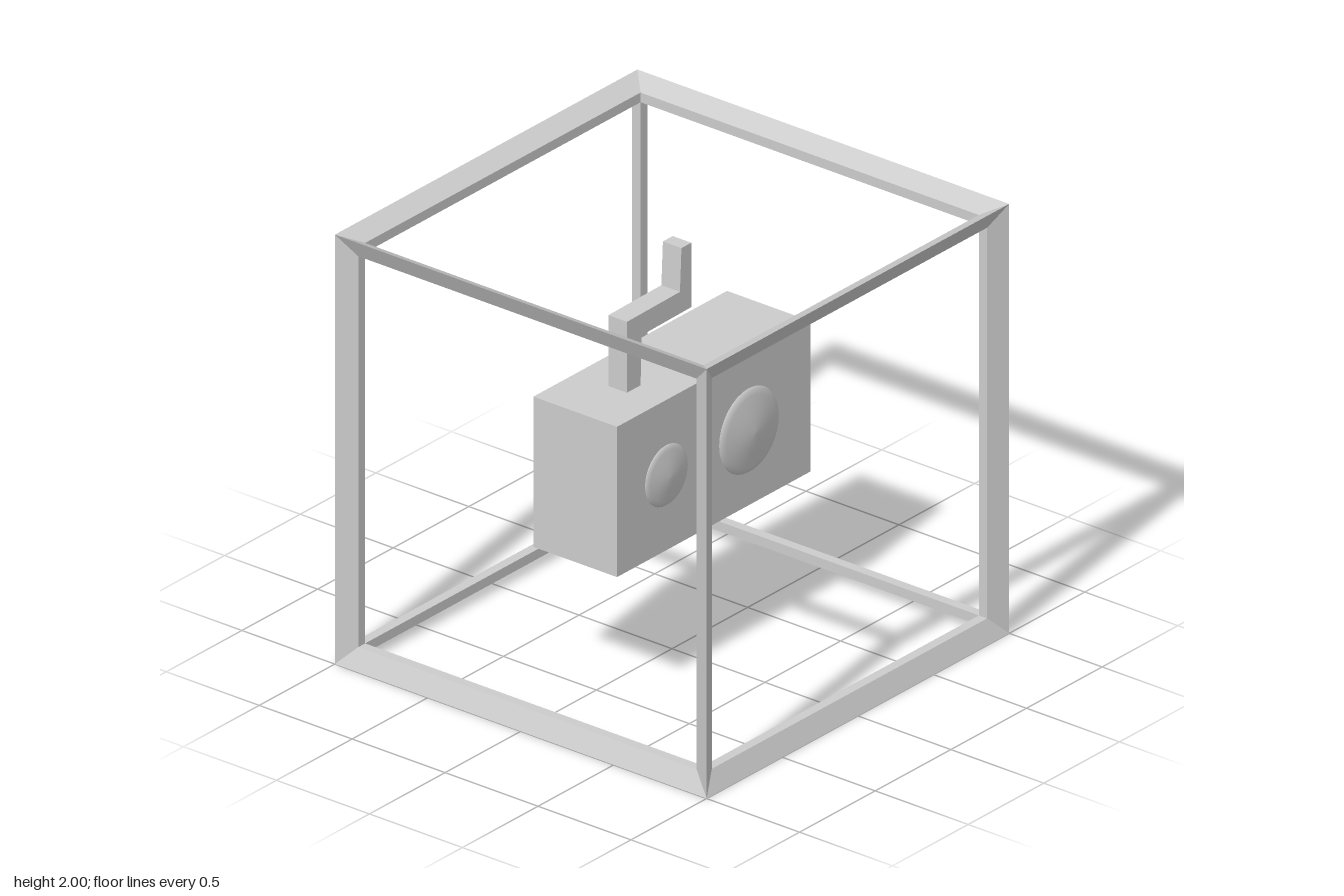
import * as THREE from 'three';

const grey = (opts = {}) => new THREE.MeshStandardMaterial({ color: 0xcccccc, ...opts });

function add(parent, name, geometry, material) {
  const mesh = new THREE.Mesh(geometry, material);
  mesh.name = name;
  parent.add(mesh);
  return mesh;
}

// Polygon or rectangle outline in the xy plane
const outline = (pts) => new THREE.Shape(pts.map(([x, y]) => new THREE.Vector2(x, y)));

// Open cube frame: each side is a square ring that slopes inwards, then drops to the inner edge
function createFrame() {
  const frame = new THREE.Group();
  frame.name = 'cubeFrame';
  const profile = [[1, 1], [0.91, 0.955], [0.91, 0.91]]
    .map(([r, y]) => new THREE.Vector2(r * Math.SQRT2, y));
  const ring = new THREE.LatheGeometry(profile, 4, Math.PI / 4);
  const material = grey({ flatShading: true, side: THREE.DoubleSide });
  const q = Math.PI / 2;
  const sides = {
    topRing: [0, 0], bottomRing: [2 * q, 0], frontRing: [q, 0],
    backRing: [-q, 0], leftRing: [0, -q], rightRing: [0, q],
  };
  for (const [name, [rx, rz]] of Object.entries(sides)) {
    add(frame, name, ring, material).rotation.set(rx, 0, rz);
  }
  frame.position.y = 1;
  return frame;
}

export function createModel() {
  const model = new THREE.Group();
  model.name = 'boxInFrame';
  model.add(createFrame());

  // Box body: solid front half, back half pierced by two round recesses
  const W = 0.64, H = 0.35, D = 0.225, split = 0;
  const dials = [
    { name: 'largeDome', x: 0.23, r: 0.195, rise: 0.04 },
    { name: 'smallDome', x: -0.315, r: 0.14, rise: 0.028 },
  ];
  const body = new THREE.Group();
  body.name = 'body';
  body.position.y = 1;
  model.add(body);

  const front = add(body, 'bodyFront', new THREE.BoxGeometry(2 * W, 2 * H, D - split), grey());
  front.position.z = (D + split) / 2;

  const backShape = outline([[-W, -H], [W, -H], [W, H], [-W, H]]);
  for (const { x, r } of dials) {
    backShape.holes.push(new THREE.Path().absarc(x, 0, r * 0.96, 0, Math.PI * 2, true));
  }
  const backGeometry = new THREE.ExtrudeGeometry(backShape, {
    depth: D + split, bevelEnabled: false, curveSegments: 32,
  });
  add(body, 'bodyBackWithRecesses', backGeometry, grey()).position.z = -D;

  // Shallow domes on the front face, with a steep rim and a nearly conical top
  for (const { name, x, r, rise } of dials) {
    const profile = [[1, 0], [0.96, 0.25], [0.84, 0.42], [0.45, 0.76], [0.2, 0.94], [0, 1]]
      .map(([u, v]) => new THREE.Vector2(u * r, v * rise));
    const dome = add(body, name, new THREE.LatheGeometry(profile, 32), grey());
    dome.rotation.x = Math.PI / 2;
    dome.position.set(x, 0, D);
  }

  // Cranked handle on top
  const handleShape = outline([
    [-0.365, 1.35], [-0.275, 1.35], [-0.27, 1.58], [0.06, 1.585],
    [0.06, 1.885], [-0.005, 1.885], [-0.015, 1.685], [-0.365, 1.68],
  ]);
  const handleGeometry = new THREE.ExtrudeGeometry(handleShape, { depth: 0.1, bevelEnabled: false });
  add(model, 'crankHandle', handleGeometry, grey({ flatShading: true })).position.z = -0.045;

  return model;
}
